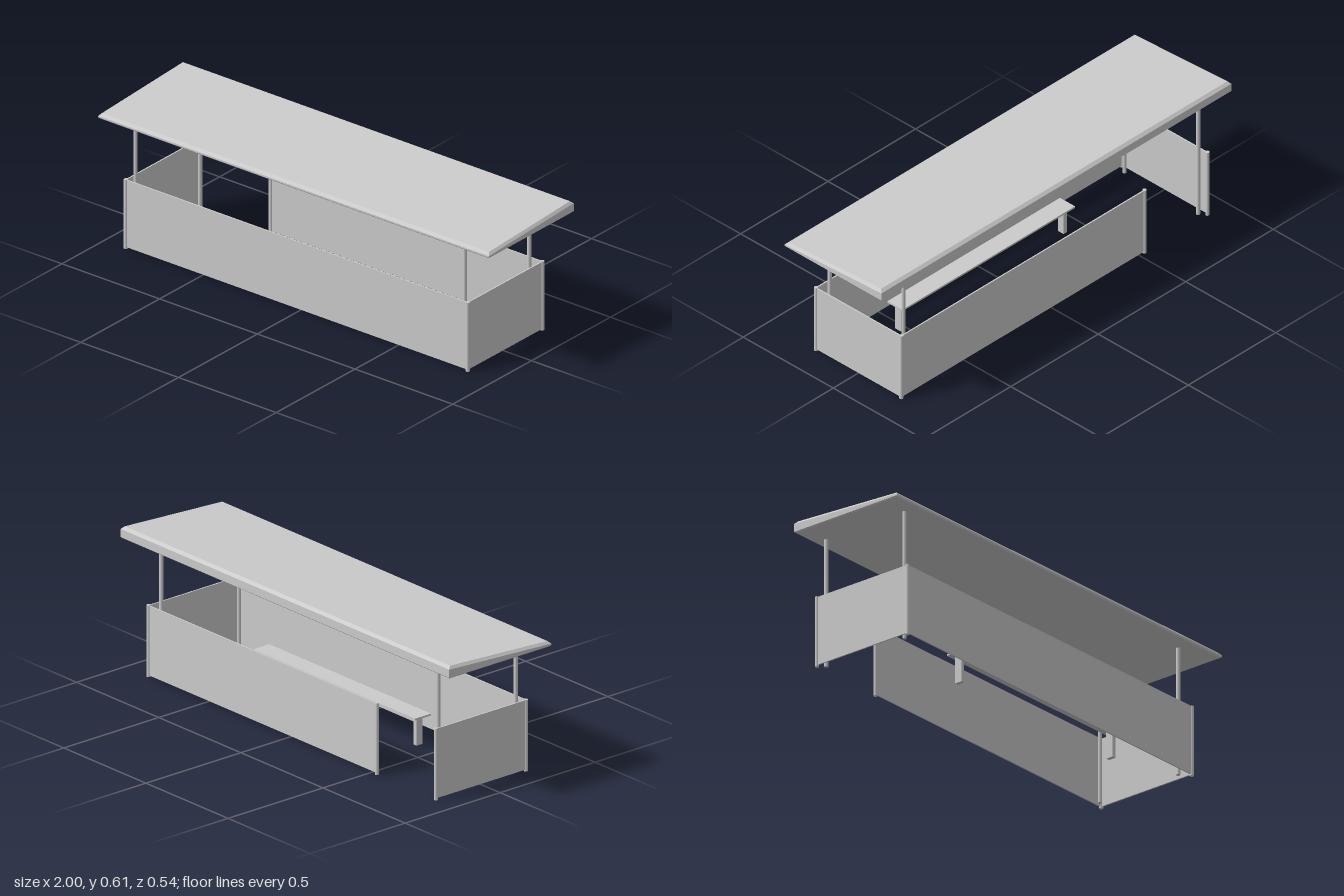
import * as THREE from 'three';

const material = new THREE.MeshStandardMaterial({ color: 0xcccccc, side: THREE.DoubleSide });
const flatMaterial = new THREE.MeshStandardMaterial({ color: 0xcccccc, flatShading: true });

// Ground plan of the corner posts
const LEFT = 0.86, RIGHT = -0.89, FRONT = 0.231, BACK = -0.242, OPENING = -0.53;
const WALL_LOW = 0.007, WALL_TOP = 0.305, ROOF_BASE = 0.557;

function box(name, x0, x1, y0, y1, z0, z1) {
  const mesh = new THREE.Mesh(new THREE.BoxGeometry(x1 - x0, y1 - y0, z1 - z0), material);
  mesh.position.set((x0 + x1) / 2, (y0 + y1) / 2, (z0 + z1) / 2);
  mesh.name = name;
  return mesh;
}

function post(name, x, z, height) {
  const mesh = new THREE.Mesh(new THREE.CylinderGeometry(0.0085, 0.0085, height, 16), material);
  mesh.position.set(x, height / 2, z);
  mesh.name = name;
  return mesh;
}

// Sloping slab lofted through four rectangular rings, chamfered at both rims
function createRoof() {
  // half length, front z, front y, back z, back y
  const rings = [
    [0.995, 0.265, 0.557, -0.262, 0.557],
    [1.0, 0.27, 0.562, -0.268, 0.562],
    [1.0, 0.27, 0.569, -0.268, 0.597],
    [0.99, 0.258, 0.58, -0.255, 0.608],
  ];
  const points = [], faces = [];
  for (const [x, zf, yf, zb, yb] of rings) {
    points.push(-x, yf, zf, x, yf, zf, x, yb, zb, -x, yb, zb);
  }
  const quad = (a, b, c, d) => faces.push(a, b, c, a, c, d);
  for (let r = 0; r < 3; r++) {
    for (let i = 0; i < 4; i++) {
      const a = r * 4 + i, b = r * 4 + (i + 1) % 4;
      quad(a, b, b + 4, a + 4);
    }
  }
  quad(3, 2, 1, 0);
  quad(12, 13, 14, 15);
  const indexed = new THREE.BufferGeometry();
  indexed.setAttribute('position', new THREE.Float32BufferAttribute(points, 3));
  indexed.setIndex(faces);
  const geometry = indexed.toNonIndexed();
  geometry.computeVertexNormals();
  const roof = new THREE.Mesh(geometry, flatMaterial);
  roof.name = 'roof';
  return roof;
}

function createBench() {
  const bench = new THREE.Group();
  bench.name = 'bench';
  bench.add(box('benchSeat', -0.43, 0.556, 0.125, 0.133, 0.046, 0.13));
  for (const x of [-0.4, 0.53]) {
    bench.add(box('benchLeg', x - 0.009, x + 0.009, 0.004, 0.126, 0.072, 0.104));
  }
  return bench;
}

export function createModel() {
  const model = new THREE.Group();
  model.name = 'shelter';
  model.add(createRoof());

  // Thin wall panels, with an entrance at the back
  const t = 0.003;
  model.add(box('frontWall', RIGHT, LEFT, WALL_LOW, WALL_TOP, FRONT - t, FRONT + t));
  model.add(box('backWall', OPENING, LEFT, WALL_LOW, WALL_TOP, BACK - t, BACK + t));
  for (const [name, x] of [['leftWall', LEFT], ['rightWall', RIGHT]]) {
    model.add(box(name, x - t, x + t, WALL_LOW, WALL_TOP, BACK, FRONT));
  }

  // Short posts hold the walls, tall posts just inside carry the roof
  for (const [x, inner] of [[LEFT, 0.817], [RIGHT, -0.868]]) {
    for (const [z, innerZ] of [[FRONT, 0.197], [BACK, -0.212]]) {
      model.add(post('cornerPost', x, z, 0.307));
      model.add(post('roofPost', inner, innerZ, ROOF_BASE + 0.002));
    }
  }
  model.add(post('entrancePost', OPENING, BACK, 0.307));

  model.add(createBench());
  return model;
}
